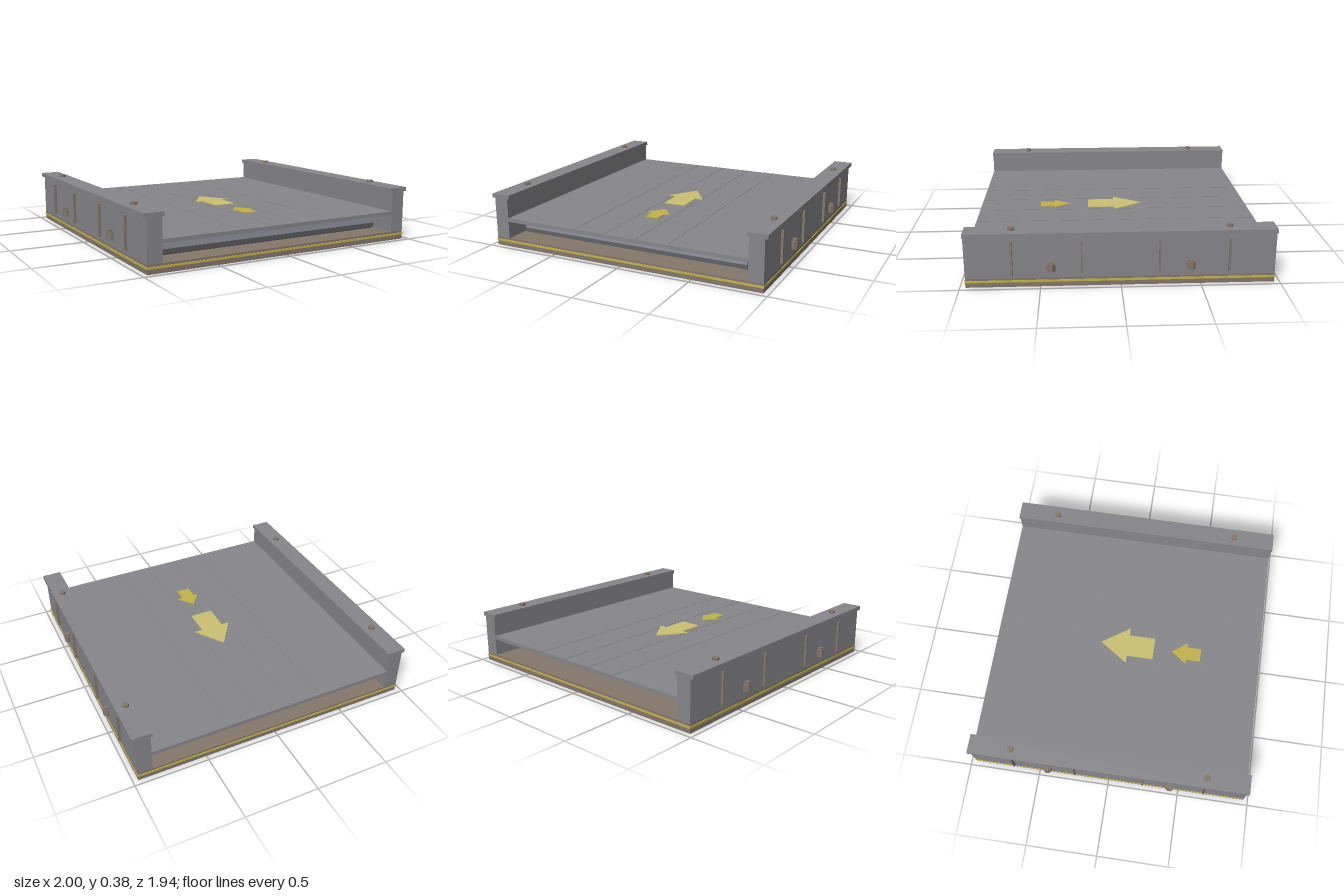
import * as THREE from 'three';

const mat = (name, color) => {
  const m = new THREE.MeshStandardMaterial({ color, flatShading: true });
  m.name = name;
  return m;
};

export function createModel() {
  const steel = mat('grey steel', 0x87868b);
  const rollerSteel = mat('roller steel', 0x7c7c86);
  const brown = mat('brown metal', 0x85776b);
  const yellow = mat('yellow paint', 0xc2b24a);
  const paleYellow = mat('pale yellow paint', 0xcbc171);

  const model = new THREE.Group();
  model.name = 'conveyorSection';

  const add = (name, geo, material, x, y, z) => {
    const mesh = new THREE.Mesh(geo, material);
    mesh.name = name;
    mesh.position.set(x, y, z);
    model.add(mesh);
    return mesh;
  };
  // box given by its min and max corners
  const box = (name, material, x0, x1, y0, y1, z0, z1) =>
    add(name, new THREE.BoxGeometry(x1 - x0, y1 - y0, z1 - z0), material,
      (x0 + x1) / 2, (y0 + y1) / 2, (z0 + z1) / 2);

  const W = 0.965; // half width and half depth of the base

  // base tray and painted trim line
  box('base', brown, -W, W, 0, 0.058, -W, W);
  for (const s of [-1, 1]) {
    const trimX = box('trimSide', yellow, -0.004, 0.004, 0.031, 0.045, -W - 0.004, W + 0.004);
    trimX.position.x = s * W;
    const trimZ = box('trimEnd', yellow, -W, W, 0.031, 0.045, -0.004, 0.004);
    trimZ.position.z = s * W;
  }

  // deck and plank seams
  box('deck', steel, -0.866, 0.866, 0.175, 0.2, -W, W);
  for (const x of [-0.34, -0.113, 0.113, 0.34])
    box('deckSeam', steel, x - 0.003, x + 0.003, 0.199, 0.202, -W + 0.005, W - 0.005);

  // octagonal rollers with axle ends, under the deck
  for (let i = 0; i < 7; i++) {
    const z = 0.8 - i * 0.25;
    const roller = add('roller', new THREE.CylinderGeometry(0.048, 0.048, 1.63, 8), rollerSteel, 0, 0.108, z);
    roller.rotation.z = Math.PI / 2;
    const axle = add('rollerAxle', new THREE.CylinderGeometry(0.025, 0.025, 1.66, 8), rollerSteel, 0, 0.115, z);
    axle.rotation.z = Math.PI / 2;
  }

  // side walls with caps, bolts, ribs and latches
  for (const s of [-1, 1]) {
    const span = (a, b) => (s > 0 ? [a, b] : [-b, -a]);
    box('sideWall', steel, ...span(0.866, W), 0.058, 0.335, -W, W);
    box('wallCap', steel, ...span(0.852, 0.985), 0.333, 0.36, -W - 0.001, W + 0.001);
    for (const z of [-0.675, 0.675])
      add('capBolt', new THREE.CylinderGeometry(0.022, 0.022, 0.02, 12), brown, s * 0.915, 0.367, z);
    for (const z of [-0.675, -0.24, 0.243, 0.675])
      box('wallRib', brown, ...span(0.96, 0.982), 0.085, 0.302, z - 0.006, z + 0.006);
    for (const z of [-0.433, 0.435]) {
      const latch = add('latch', new THREE.CylinderGeometry(0.03, 0.03, 0.05, 8), brown, s * 0.97, 0.131, z);
      latch.rotation.y = Math.PI / 8;
      box('latchPin', brown, ...span(0.96, 0.991), 0.106, 0.17, z - 0.016, z + 0.016);
    }
  }

  // painted arrows pointing to the back
  const arrow = (name, material, tip, neck, tail, headHalf, shaftHalf) => {
    const shape = new THREE.Shape([
      [0, -tip], [-headHalf, -neck], [-shaftHalf, -neck], [-shaftHalf, -tail],
      [shaftHalf, -tail], [shaftHalf, -neck], [headHalf, -neck],
    ].map(([x, y]) => new THREE.Vector2(x, y)));
    const geo = new THREE.ExtrudeGeometry(shape, { depth: 0.007, bevelEnabled: false });
    geo.rotateX(-Math.PI / 2);
    add(name, geo, material, 0, 0.199, 0);
  };
  arrow('largeArrow', paleYellow, -0.2, 0, 0.19, 0.135, 0.08);
  arrow('smallArrow', yellow, 0.325, 0.435, 0.535, 0.082, 0.048);

  return model;
}
